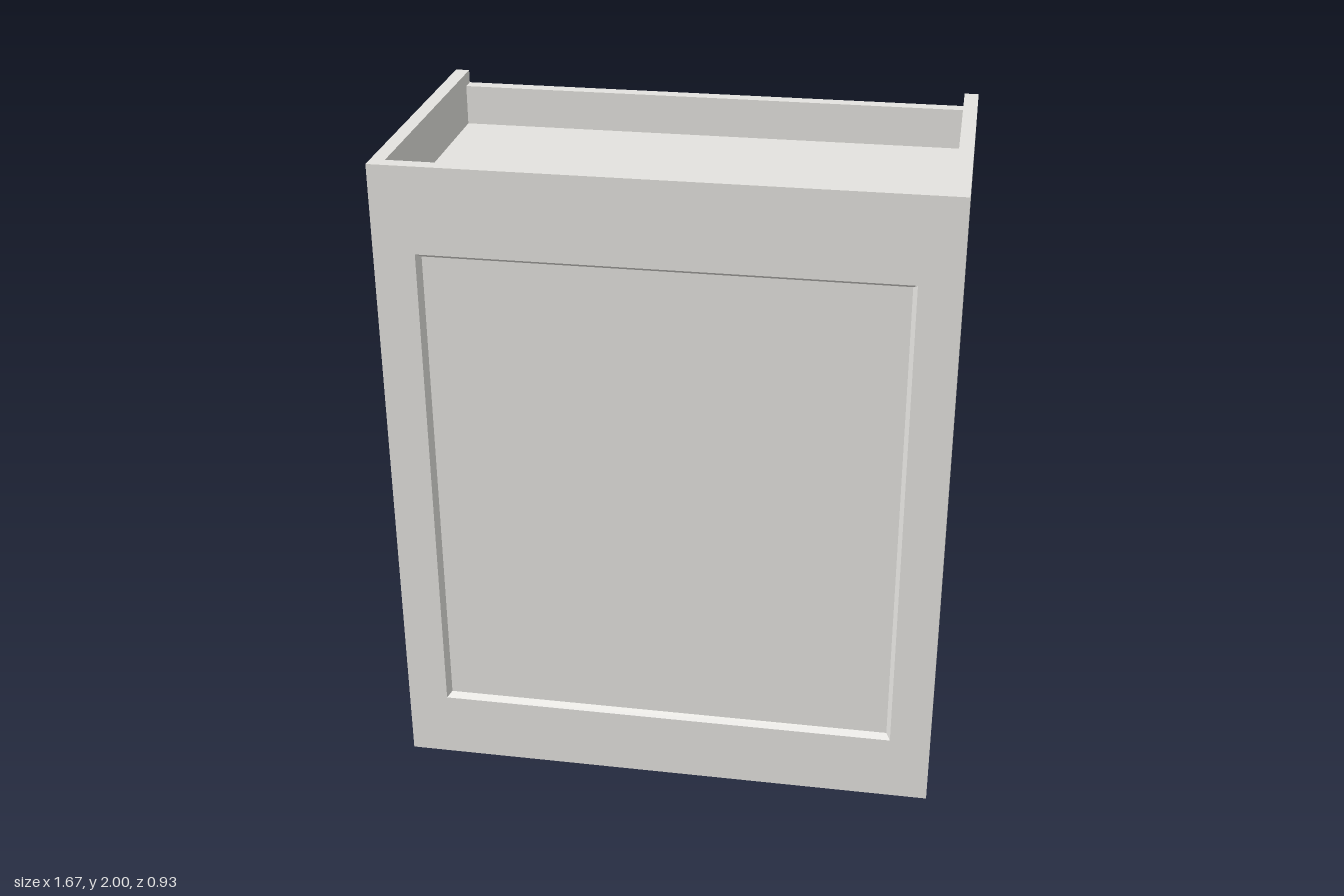
import * as THREE from 'three';

const W = 0.834, D = 0.466, H = 2, T = 0.043; // half width, half depth, height, board thickness
const IN = W - T;                             // half width between the sides

// Board facing +z lofted through rectangles [halfWidth, bottom, top, z], closed at both ends
function loftBoard(rects) {
  const pos = [], idx = [];
  rects.forEach(([w, b, t, z]) => pos.push(-w, b, z, w, b, z, w, t, z, -w, t, z));
  for (let r = 0; r < rects.length - 1; r++) {
    for (let i = 0; i < 4; i++) {
      const a = r * 4 + i, b = r * 4 + (i + 1) % 4;
      idx.push(a, b, b + 4, a, b + 4, a + 4);
    }
  }
  const e = (rects.length - 1) * 4;
  idx.push(0, 2, 1, 0, 3, 2, e, e + 1, e + 2, e, e + 2, e + 3);
  const g = new THREE.BufferGeometry();
  g.setAttribute('position', new THREE.Float32BufferAttribute(pos, 3));
  g.setIndex(idx);
  const flat = g.toNonIndexed();
  flat.computeVertexNormals();
  return flat;
}

export function createModel() {
  const group = new THREE.Group();
  const paint = new THREE.MeshStandardMaterial({ color: 0xe4e3df });
  paint.name = 'off-white paint';

  const add = (name, geometry) => {
    const mesh = new THREE.Mesh(geometry, paint);
    mesh.name = name;
    group.add(mesh);
  };
  // Box given by its limits on each axis
  const board = (name, x0, x1, y0, y1, z0, z1) => {
    const g = new THREE.BoxGeometry(x1 - x0, y1 - y0, z1 - z0);
    g.translate((x0 + x1) / 2, (y0 + y1) / 2, (z0 + z1) / 2);
    add(name, g);
  };

  // Front with a shallow bevelled recess
  add('frontPanel', loftBoard([
    [W, 0, H, D - T],
    [W, 0, H, D],
    [0.71, 0.21, 1.738, D],
    [0.697, 0.223, 1.725, D - 0.02],
  ]));

  // Full-height sides
  board('leftSide', IN, W, 0, H, -D, D - T);
  board('rightSide', -W, -IN, 0, H, -D, D - T);

  // Decks set in from the top and bottom, leaving open trays
  board('topDeck', -IN, IN, 1.793, 1.836, -D + T, D - T);
  board('bottomDeck', -IN, IN, 0.085, 0.128, -D + T, D - T);

  // Back rails, slightly short of the sides at top and bottom
  board('topRail', -IN, IN, 1.79, 1.96, -D, -D + T);
  board('middleRail', -IN, IN, 0.855, 0.987, -D, -D + T);
  board('bottomRail', -IN, IN, 0.04, 0.185, -D, -D + T);

  // Recessed back behind the rails
  board('backPanel', -IN, IN, 0.128, 1.793, -D + T, -D + 2 * T);

  return group;
}
